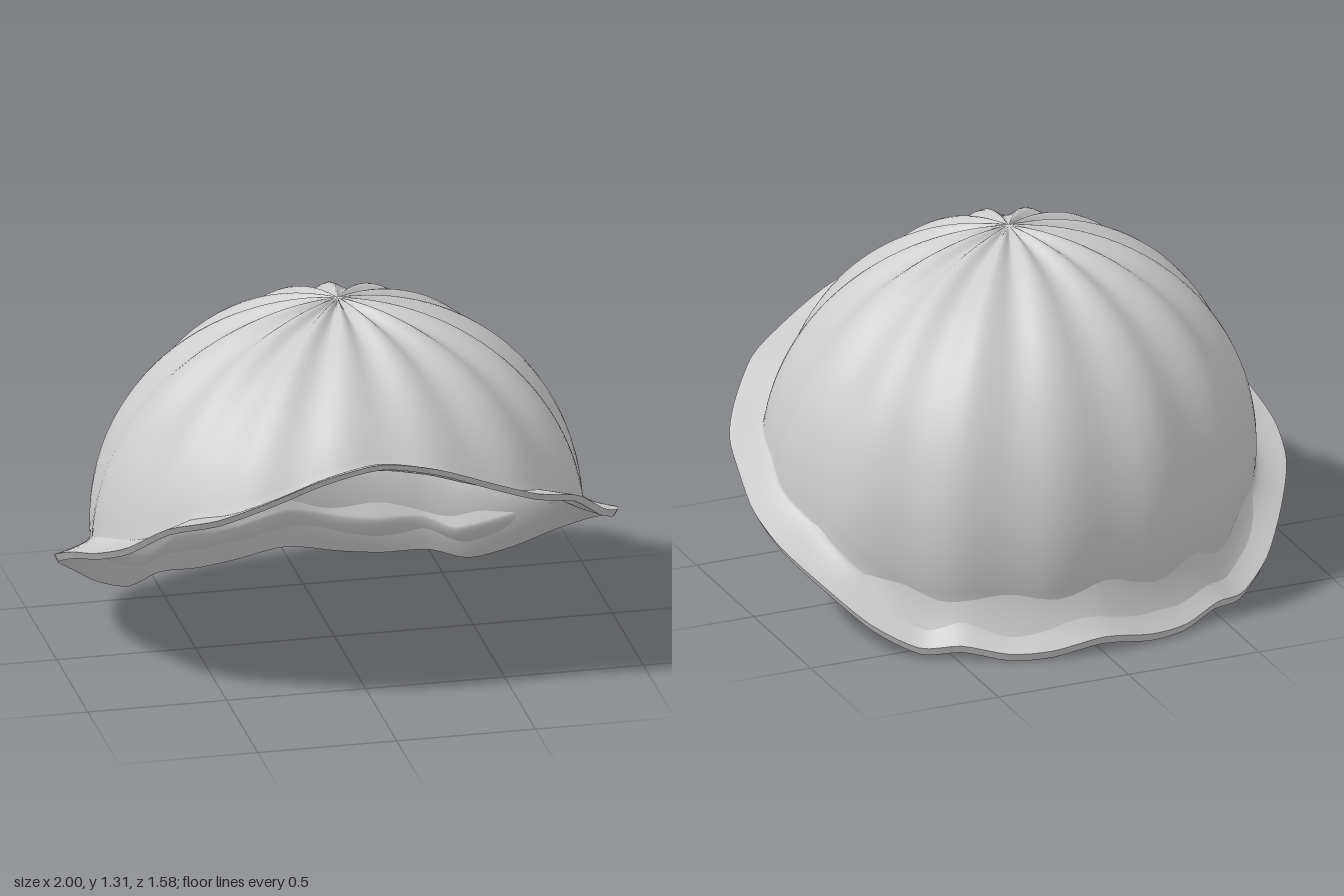
import * as THREE from 'three';

const COLS = 128, RIBS = 14;
const CENTRE = { y: 0.45, z: 0.05 };
const RADII = { x: 0.885, y: 0.86, z: 0.8 };

// wavy rim, from the middle of the back round the left side to the middle of the front
const HALF_RIM = [
  [0, 0.035, -0.79], [0.19, 0.008, -0.775], [0.34, 0.006, -0.735], [0.49, 0.035, -0.66],
  [0.62, 0.022, -0.585], [0.76, 0.095, -0.48], [0.88, 0.21, -0.33], [0.97, 0.31, -0.17],
  [1, 0.39, 0], [0.98, 0.465, 0.17], [0.94, 0.53, 0.35], [0.86, 0.6, 0.49],
  [0.74, 0.71, 0.61], [0.58, 0.77, 0.71], [0.4, 0.85, 0.768], [0.21, 0.925, 0.785], [0, 0.965, 0.785],
];

function makeRim() {
  const left = HALF_RIM.map(([x, y, z]) => new THREE.Vector3(x, y, z));
  const right = left.slice(1, -1).reverse().map((p) => new THREE.Vector3(-p.x, p.y, p.z));
  const curve = new THREE.CatmullRomCurve3([...left, ...right], true, 'catmullrom', 0.4);
  return Array.from({ length: COLS }, (_, j) => curve.getPoint(j / COLS));
}

// one strip from the crown down to the neck and out along the flared brim
function makeColumn(rim, { inset, pleats, neckRise, neckTilt, flare, lipScale, lipBack, lipFront }) {
  const phi = Math.atan2((rim.z - CENTRE.z) / RADII.z, rim.x / RADII.x);
  const front = Math.sin(phi);
  const edge = new THREE.Vector3(
    rim.x * lipScale,
    rim.y + THREE.MathUtils.lerp(lipBack, lipFront, (1 + front) / 2),
    rim.z * lipScale);
  const neckY = rim.y + neckRise - neckTilt * front;
  const neckAngle = Math.acos((neckY - CENTRE.y) / RADII.y);
  const points = [];
  const domeSteps = 28, brimSteps = 10;
  for (let i = 0; i <= domeSteps; i++) {
    const u = i / domeSteps, a = u * neckAngle;
    const depth = pleats * (0.028 * Math.sin(Math.PI * Math.sqrt(u)) + 0.018 * u);
    const s = 1 - depth * (0.5 - 0.5 * Math.cos(RIBS * phi + 0.98 + 0.8 * (1 - u)));
    points.push(new THREE.Vector3(
      (RADII.x - inset) * s * Math.sin(a) * Math.cos(phi),
      CENTRE.y + (RADII.y - inset) * s * Math.cos(a),
      CENTRE.z + (RADII.z - inset) * s * Math.sin(a) * Math.sin(phi)));
  }
  const neck = points[domeSteps];
  for (let i = 1; i <= brimSteps; i++) {
    const t = i / brimSteps, out = t ** flare;
    points.push(new THREE.Vector3(
      THREE.MathUtils.lerp(neck.x, edge.x, out),
      THREE.MathUtils.lerp(neck.y, edge.y, t),
      THREE.MathUtils.lerp(neck.z, edge.z, out)));
  }
  return points;
}

// closed ring of strips; with a crown, the first row is a single shared point
function skin(columns, crown, flip) {
  const rows = columns[0].length, positions = [], index = [];
  for (const column of columns) for (const p of column) positions.push(p.x, p.y, p.z);
  const id = (i, j) => (crown && i === 0 ? 0 : (j % COLS) * rows + i);
  const tri = (a, b, c) => (flip ? index.push(a, c, b) : index.push(a, b, c));
  for (let j = 0; j < COLS; j++) {
    for (let i = 0; i < rows - 1; i++) {
      const a = id(i, j), b = id(i + 1, j), c = id(i, j + 1), d = id(i + 1, j + 1);
      if (!(crown && i === 0)) tri(a, c, b);
      tri(b, c, d);
    }
  }
  const geometry = new THREE.BufferGeometry();
  geometry.setAttribute('position', new THREE.Float32BufferAttribute(positions, 3));
  geometry.setIndex(index);
  geometry.computeVertexNormals();
  return geometry;
}

export function createModel() {
  const group = new THREE.Group();
  group.name = 'pleatedShell';
  const shellGrey = new THREE.MeshStandardMaterial({ color: 0xcccccc, side: THREE.DoubleSide });
  shellGrey.name = 'shell grey';

  const rim = makeRim();
  const outer = rim.map((p) => makeColumn(p, {
    inset: 0, pleats: 1, neckRise: 0.07, neckTilt: 0.1, flare: 1.6,
    lipScale: 1, lipBack: 0.03, lipFront: 0,
  }));
  // the lining is smooth and sweeps gently into the underside of the brim
  const inner = rim.map((p) => makeColumn(p, {
    inset: 0.045, pleats: 0, neckRise: 0.15, neckTilt: 0.19, flare: 2.2,
    lipScale: 0.985, lipBack: 0, lipFront: -0.025,
  }));
  const lip = rim.map((_, j) => [outer[j].at(-1), inner[j].at(-1)]);

  const add = (name, geometry) => {
    const mesh = new THREE.Mesh(geometry, shellGrey);
    mesh.name = name;
    group.add(mesh);
  };
  add('outerShell', skin(outer, true, false));
  add('innerLining', skin(inner, true, true));
  add('rimEdge', skin(lip, false, false));
  return group;
}
